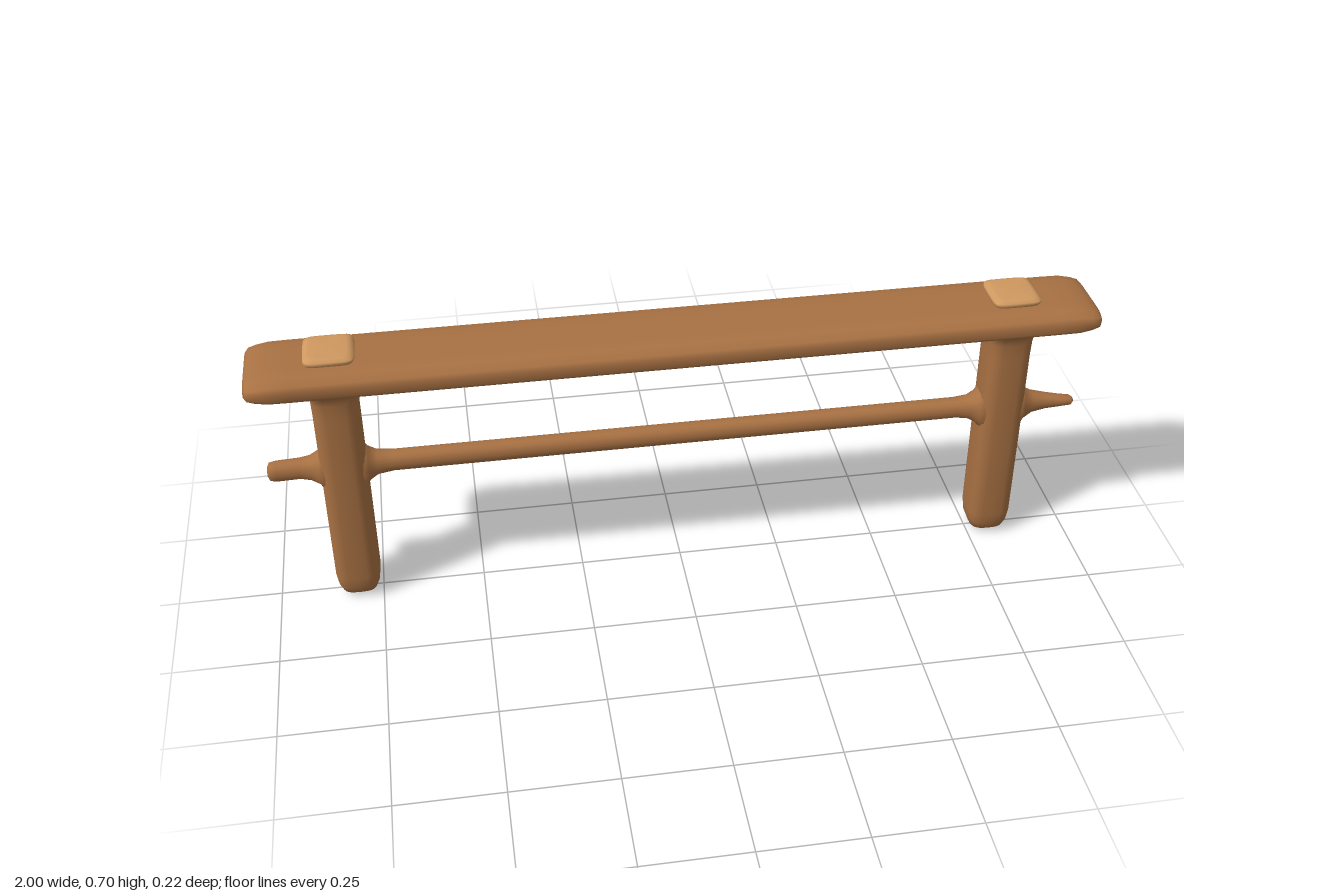
import * as THREE from 'three';

// Rounded-square section, counter-clockwise, unit half-size
function roundSection(power, n = 24) {
  const f = (c) => Math.sign(c) * Math.pow(Math.abs(c), 2 / power);
  return Array.from({ length: n }, (_, i) => {
    const a = (i / n) * Math.PI * 2;
    return [f(Math.cos(a)), f(Math.sin(a))];
  });
}

// Loft a section along an axis; station = [t, halfU, halfV, centreU, centreV]
// axis 'y': u = z, v = x; axis 'x': u = y, v = z
function loft(section, stations, axis) {
  const n = section.length, pos = [], idx = [];
  const put = (t, u, v) => (axis === 'y' ? pos.push(v, t, u) : pos.push(t, u, v));
  stations.forEach(([t, hu, hv, cu = 0, cv = 0]) =>
    section.forEach(([u, v]) => put(t, cu + u * hu, cv + v * hv)));
  for (let i = 0; i < stations.length - 1; i++) {
    for (let j = 0; j < n; j++) {
      const k = (j + 1) % n;
      const a = i * n + j, b = i * n + k, c = b + n, d = a + n;
      idx.push(a, b, c, a, c, d);
    }
  }
  // Close both ends
  [0, stations.length - 1].forEach((i) => {
    const [t, , , cu = 0, cv = 0] = stations[i];
    const centre = pos.length / 3;
    put(t, cu, cv);
    for (let j = 0; j < n; j++) {
      const a = i * n + j, b = i * n + ((j + 1) % n);
      if (i === 0) idx.push(centre, b, a);
      else idx.push(centre, a, b);
    }
  });
  const g = new THREE.BufferGeometry();
  g.setAttribute('position', new THREE.Float32BufferAttribute(pos, 3));
  g.setIndex(idx);
  g.computeVertexNormals();
  return g;
}

export function createModel() {
  const model = new THREE.Group();
  const wood = new THREE.MeshStandardMaterial({ color: 0xa87143 });
  wood.name = 'brown wood';
  const paleWood = new THREE.MeshStandardMaterial({ color: 0xcf9860 });
  paleWood.name = 'pale wood';

  const add = (name, geometry, material) => {
    const mesh = new THREE.Mesh(geometry, material);
    mesh.name = name;
    model.add(mesh);
  };

  // Seat plank: flat top, bevelled shoulders, tapered underside
  const half = [
    [1, 0], [1, 0.3], [1, 0.55], [0.93, 0.75], [0.56, 0.94], [0.3, 1],
    [-0.3, 1], [-0.55, 0.94], [-0.85, 0.75], [-0.97, 0.55], [-1, 0.3], [-1, 0],
  ];
  const seatSection = [...half, ...half.slice(1, -1).reverse().map(([u, v]) => [u, -v])];
  const seatStations = [
    [-1, 0.016, 0.088], [-0.993, 0.023, 0.1], [-0.975, 0.029, 0.105], [-0.945, 0.035, 0.108],
    [-0.9, 0.036, 0.108], [-0.5, 0.036, 0.108], [0, 0.036, 0.108], [0.5, 0.036, 0.108],
    [0.9, 0.036, 0.108], [0.945, 0.035, 0.108], [0.975, 0.029, 0.105], [0.993, 0.023, 0.1],
    [1, 0.016, 0.088],
  ].map(([x, h, w]) => [x, h, w, 0.65, 0]);
  add('seat', loft(seatSection, seatStations, 'x'), wood);

  // Legs with rounded feet, flaring into the seat; pale tenon ends on top
  const legStations = [
    [0, 0.012, 0.012], [0.004, 0.03, 0.028], [0.015, 0.044, 0.043], [0.035, 0.052, 0.051],
    [0.065, 0.055, 0.055], [0.3, 0.056, 0.055], [0.54, 0.056, 0.055], [0.58, 0.058, 0.056],
    [0.6, 0.062, 0.06], [0.613, 0.073, 0.07], [0.622, 0.085, 0.082],
  ];
  const capStations = [
    [0.682, 0.052, 0.05], [0.687, 0.058, 0.056], [0.693, 0.061, 0.059],
    [0.698, 0.06, 0.058], [0.703, 0.052, 0.05], [0.705, 0.044, 0.042],
  ];
  for (const [side, x] of [['left', 0.803], ['right', -0.807]]) {
    const at = (list, z) => list.map(([y, hz, hx]) => [y, hz, hx, z, x]);
    add(`${side}Leg`, loft(roundSection(3.2), at(legStations, 0), 'y'), wood);
    add(`${side}TenonCap`, loft(roundSection(6, 32), at(capStations, -0.003), 'y'), paleWood);
  }

  // Stretcher rail, swelling where it meets each leg, with a thin left tip
  const railStations = [
    [-0.985, 0.012, 0.012, 0.376, 0.003], [-0.98, 0.022, 0.02, 0.376, 0.003],
    [-0.965, 0.025, 0.023, 0.376, 0.003], [-0.91, 0.025, 0.024, 0.376, 0],
    [-0.885, 0.03, 0.028, 0.375, 0], [-0.865, 0.042, 0.036, 0.374, 0],
    [-0.852, 0.065, 0.045, 0.372, 0], [-0.762, 0.065, 0.045, 0.372, 0],
    [-0.748, 0.042, 0.036, 0.374, 0], [-0.728, 0.03, 0.028, 0.375, 0],
    [-0.69, 0.025, 0.025, 0.376, 0], [0, 0.025, 0.025, 0.376, 0],
    [0.69, 0.025, 0.025, 0.376, 0], [0.724, 0.03, 0.028, 0.375, 0],
    [0.744, 0.042, 0.036, 0.374, 0], [0.758, 0.065, 0.045, 0.372, 0],
    [0.848, 0.065, 0.045, 0.372, 0], [0.862, 0.042, 0.036, 0.374, 0],
    [0.885, 0.028, 0.027, 0.375, 0], [0.92, 0.02, 0.021, 0.376, 0.004],
    [0.96, 0.014, 0.017, 0.374, 0.007], [0.985, 0.011, 0.015, 0.373, 0.008],
    [0.992, 0.006, 0.008, 0.373, 0.008],
  ];
  add('stretcher', loft(roundSection(2.3, 16), railStations, 'x'), wood);

  return model;
}
